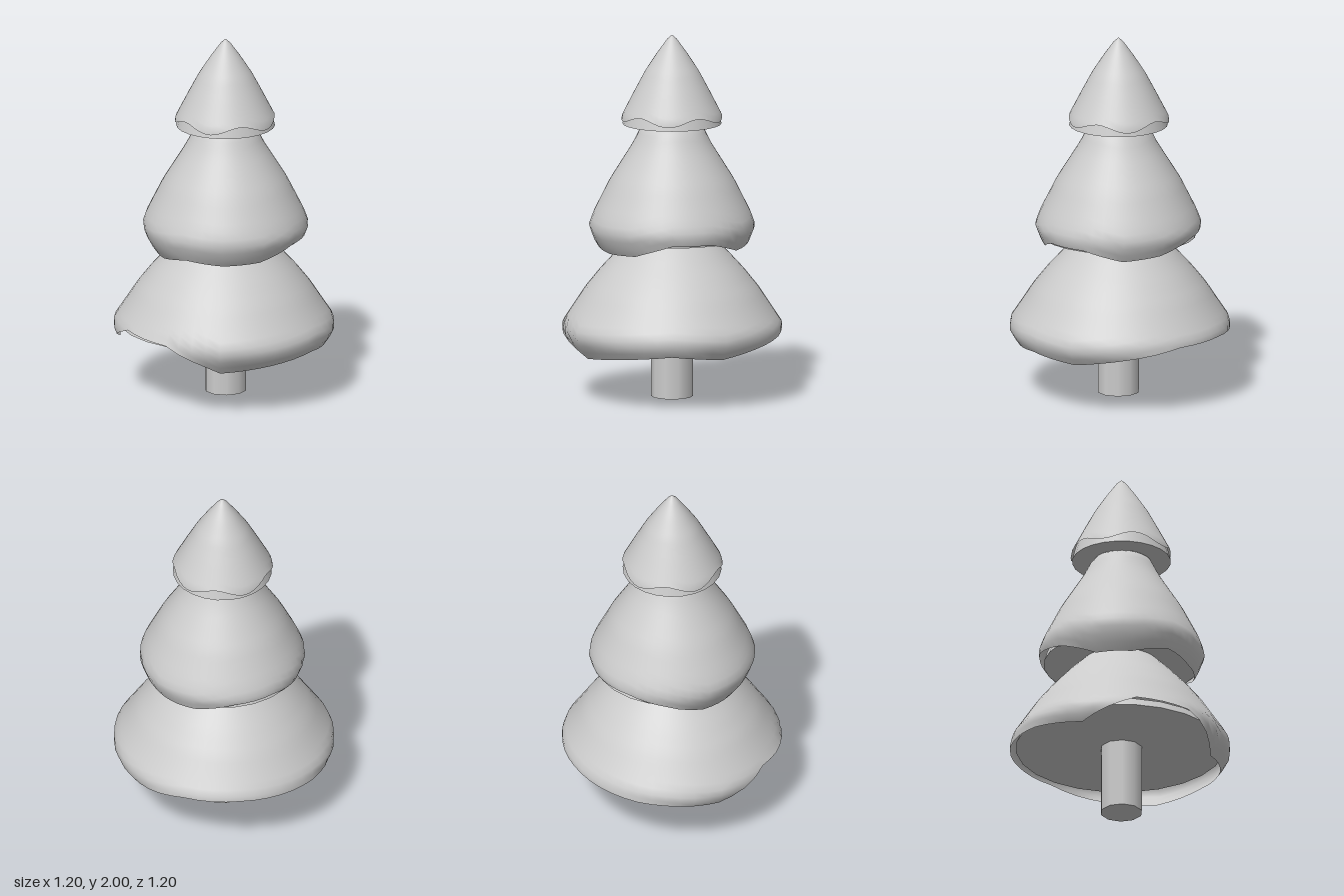
import * as THREE from 'three';

const SEGMENTS = 48, ROWS = 20;
const solid = new THREE.MeshStandardMaterial({ color: 0xcccccc });
const thin = new THREE.MeshStandardMaterial({ color: 0xcccccc, side: THREE.DoubleSide });

// Radius at height y along a profile of points (radius, height) listed upwards
function radiusAt(profile, y) {
  const i = profile.findIndex((p) => p.y >= y);
  if (i === 0) return profile[0].x;
  const a = profile[i - 1], b = profile[i];
  return THREE.MathUtils.mapLinear(y, a.y, b.y, a.x, b.x);
}

// Hem height as a function of angle (0 = +x, turning to +z), from evenly spaced heights
function hemThrough(heights) {
  return (angle) => {
    const k = angle / (Math.PI * 2) * heights.length;
    const i = Math.floor(k);
    return THREE.MathUtils.lerp(heights[i], heights[(i + 1) % heights.length], k - i);
  };
}

// Round skirt following the profile, cut off below by the uneven hem
function skirtGeometry(profile, hem) {
  const positions = [], index = [];
  const top = profile[profile.length - 1].y;
  for (let j = 0; j <= ROWS; j++) {
    for (let i = 0; i < SEGMENTS; i++) {
      const angle = i / SEGMENTS * Math.PI * 2;
      const y = THREE.MathUtils.lerp(top, hem(angle), j / ROWS);
      const r = radiusAt(profile, y);
      positions.push(Math.cos(angle) * r, y, Math.sin(angle) * r);
      if (j === ROWS) continue;
      const a = j * SEGMENTS + i, b = j * SEGMENTS + (i + 1) % SEGMENTS;
      index.push(a, b, a + SEGMENTS, b, b + SEGMENTS, a + SEGMENTS);
    }
  }
  const geometry = new THREE.BufferGeometry();
  geometry.setAttribute('position', new THREE.Float32BufferAttribute(positions, 3));
  geometry.setIndex(index);
  geometry.computeVertexNormals();
  return geometry;
}

// One foliage tier: skirt, flat underside and the short wall that joins them
function makeTier(name, x, profile, hem, base, wallHeight, baseRadius) {
  const tier = new THREE.Group();
  tier.name = name;
  tier.position.x = x;

  const skirt = new THREE.Mesh(skirtGeometry(profile, hem), thin);
  skirt.name = 'skirt';

  const wall = new THREE.Mesh(
    new THREE.CylinderGeometry(baseRadius - 0.02, baseRadius, wallHeight, 24, 1, true), thin);
  wall.name = 'undersideWall';
  wall.position.y = base + wallHeight / 2;

  const underside = new THREE.Mesh(new THREE.CircleGeometry(baseRadius, 24), solid);
  underside.name = 'underside';
  underside.rotation.x = Math.PI / 2;
  underside.position.y = base;

  tier.add(skirt, wall, underside);
  return tier;
}

export function createModel() {
  const model = new THREE.Group();
  model.name = 'tree';
  const p = (radius, height) => new THREE.Vector2(radius, height);

  // Trunk
  const trunk = new THREE.Mesh(new THREE.CylinderGeometry(0.115, 0.115, 0.6, 10), solid);
  trunk.name = 'trunk';
  trunk.position.set(0.01, 0.3, 0);
  model.add(trunk);

  // Wide lower tier, its hem lifted at the front and drooping at the sides
  const lowerProfile = [p(0.53, 0.25), p(0.6, 0.35), p(0.6, 0.41), p(0.54, 0.5),
    p(0.475, 0.6), p(0.395, 0.7), p(0.285, 0.82), p(0.18, 0.92), p(0, 1)];
  const lowerHem = hemThrough(
    [0.31, 0.28, 0.25, 0.4, 0.42, 0.3, 0.34, 0.36, 0.38, 0.38, 0.33, 0.28]);
  model.add(makeTier('lowerFoliage', 0, lowerProfile, lowerHem, 0.385, 0.045, 0.57));

  // Middle tier, hanging lowest at the front
  const middleProfile = [p(0.37, 0.79), p(0.42, 0.86), p(0.455, 0.95), p(0.43, 1.02),
    p(0.34, 1.2), p(0.215, 1.4), p(0.165, 1.5), p(0, 1.62)];
  const middleHem = hemThrough(
    [0.9, 0.83, 0.82, 0.84, 0.8, 0.8, 0.88, 0.93, 0.92, 0.86, 0.84, 0.9]);
  model.add(makeTier('middleFoliage', 0.01, middleProfile, middleHem, 0.89, 0.06, 0.425));

  // Pointed upper tier with a gently scalloped hem
  const upperProfile = [p(0.277, 1.53), p(0.272, 1.56), p(0.2, 1.7), p(0.147, 1.8),
    p(0.082, 1.9), p(0.017, 1.99), p(0, 2)];
  const upperHem = (angle) => 1.55 + 0.02 * Math.cos(5 * (angle - 0.7));
  model.add(makeTier('upperFoliage', 0.01, upperProfile, upperHem, 1.51, 0.08, 0.27));

  return model;
}
